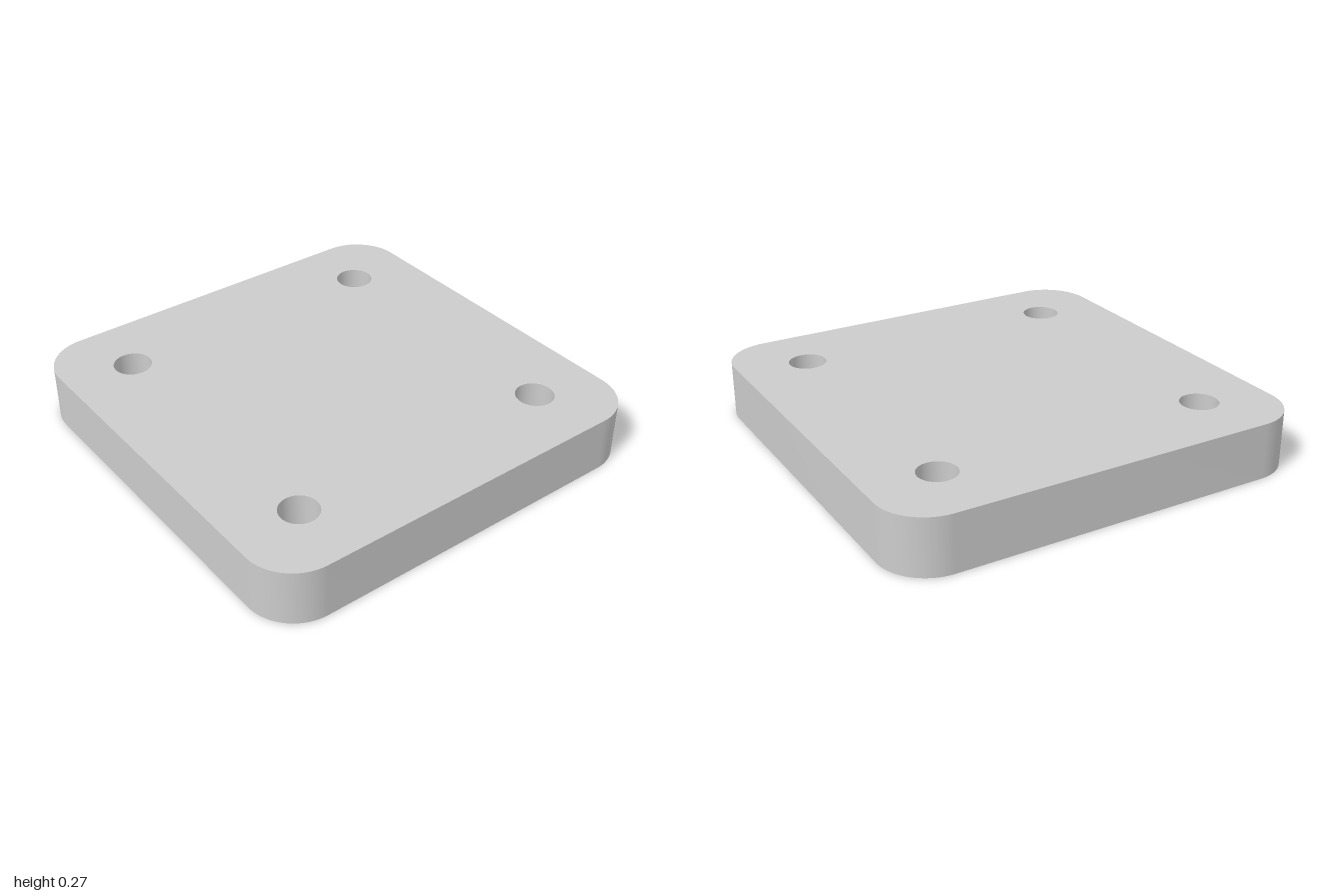
import * as THREE from 'three';
import { toCreasedNormals } from 'three/addons/utils/BufferGeometryUtils.js';

const HALF = 1, CORNER = 0.23, THICKNESS = 0.267;
const HOLE_OFFSET = 0.667, HOLE_RADIUS = 0.09;

export function createModel() {
  const group = new THREE.Group();
  group.name = 'mountingPlate';

  // Rounded square outline, one arc per corner
  const outline = new THREE.Shape();
  const c = HALF - CORNER;
  [[c, c], [-c, c], [-c, -c], [c, -c]].forEach(([x, y], i) => {
    const start = i * Math.PI / 2;
    outline.absarc(x, y, CORNER, start, start + Math.PI / 2, false);
  });
  outline.closePath();

  // Four through holes
  for (const sx of [-1, 1]) {
    for (const sy of [-1, 1]) {
      const hole = new THREE.Path();
      hole.absarc(sx * HOLE_OFFSET, sy * HOLE_OFFSET, HOLE_RADIUS, 0, Math.PI * 2, true);
      outline.holes.push(hole);
    }
  }

  // Plate laid flat, standing on the ground
  const geometry = new THREE.ExtrudeGeometry(outline, {
    depth: THICKNESS, bevelEnabled: false, curveSegments: 24,
  });
  geometry.rotateX(-Math.PI / 2);
  const plate = new THREE.Mesh(
    toCreasedNormals(geometry, Math.PI / 6),
    new THREE.MeshStandardMaterial({ color: 0xcccccc }),
  );
  plate.name = 'plate';
  group.add(plate);

  return group;
}
